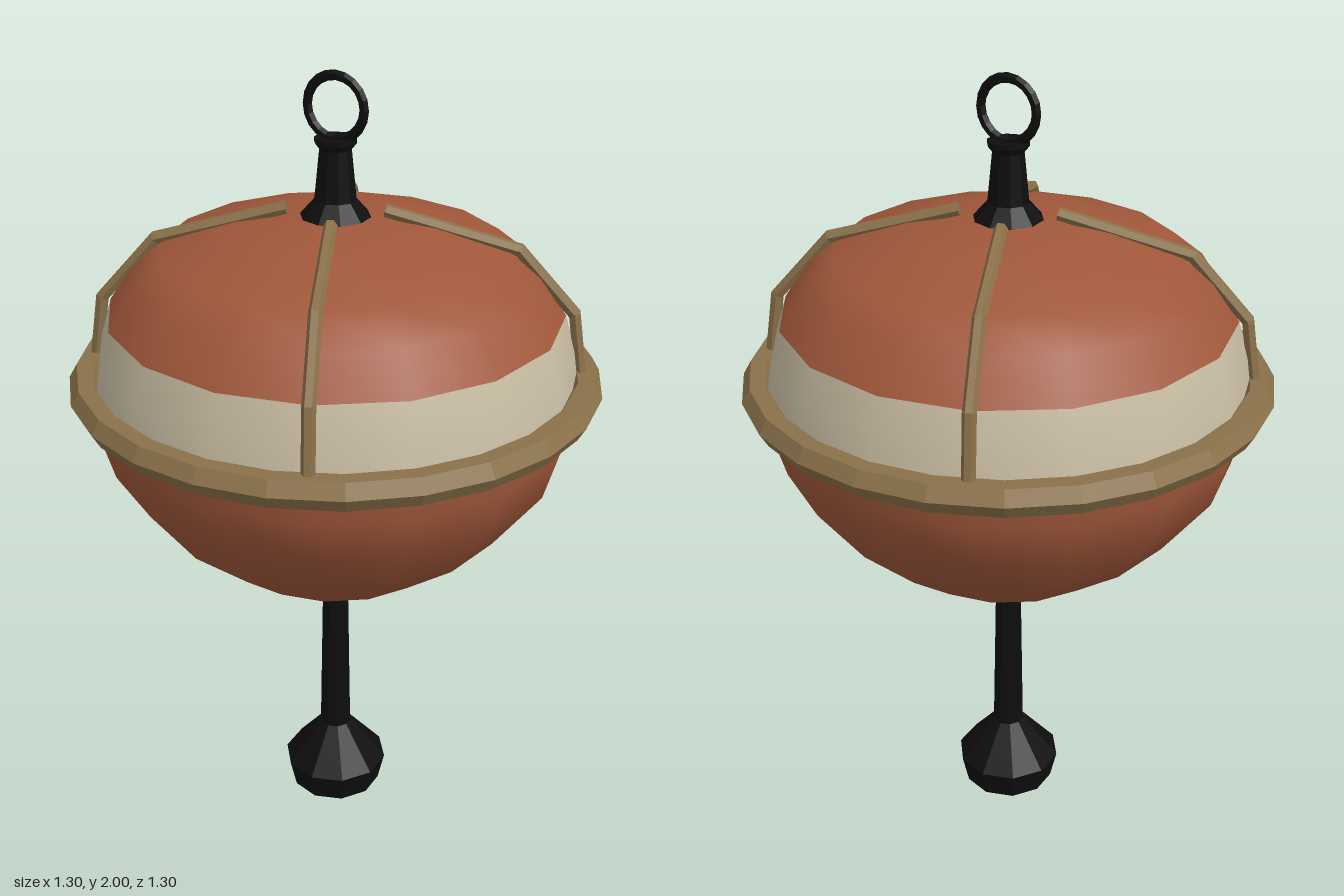
import * as THREE from 'three';

const material = (name, color) => {
  const m = new THREE.MeshStandardMaterial({ color });
  m.name = name;
  return m;
};

// Faceted normals for the low-poly parts
function faceted(geometry) {
  const g = geometry.index ? geometry.toNonIndexed() : geometry;
  g.computeVertexNormals();
  return g;
}

// Turned shape from [radius, height] pairs, listed bottom to top
const turned = (profile, sides) =>
  new THREE.LatheGeometry(profile.map(([r, y]) => new THREE.Vector2(r, y)), sides);

// Straight bar between two points, slightly overlapping at the joints
function bar(a, b, radius) {
  const dir = b.clone().sub(a);
  const g = faceted(new THREE.CylinderGeometry(radius, radius, dir.length() + 0.008, 6));
  g.applyQuaternion(new THREE.Quaternion().setFromUnitVectors(new THREE.Vector3(0, 1, 0), dir.normalize()));
  const mid = a.clone().add(b).multiplyScalar(0.5);
  return g.translate(mid.x, mid.y, mid.z);
}

export function createModel() {
  const model = new THREE.Group();
  model.name = 'buoy';
  const rust = material('rust red paint', 0xa0573a);
  const cream = material('cream paint', 0xc9bda3);
  const brass = material('aged brass', 0x8a714a);
  const iron = material('black iron', 0x0e0e0f);

  const add = (name, geometry, mat, parent = model) => {
    const mesh = new THREE.Mesh(geometry, mat);
    mesh.name = name;
    parent.add(mesh);
    return mesh;
  };

  // Float: lower hull, painted band and upper dome
  add('lowerHull', turned([[0, 0.7], [0.127, 0.708], [0.28, 0.77], [0.434, 0.89],
    [0.555, 1.05], [0.587, 1.16], [0.592, 1.25]], 16), rust);
  add('paintedBand', turned([[0.592, 1.25], [0.578, 1.34], [0.55, 1.43]], 16), cream);
  add('upperDome', turned([[0.55, 1.43], [0.487, 1.525], [0.413, 1.585],
    [0.24, 1.64], [0.1, 1.66], [0, 1.663]], 16), rust);

  // Hexagonal-section ring around the waist
  const waist = new THREE.TorusGeometry(0.61, 0.04, 6, 24).rotateX(Math.PI / 2);
  add('waistRing', faceted(waist).translate(0, 1.255, 0), brass);

  // Four bent ribs over the dome
  const path = [[0.12, 1.675], [0.432, 1.59], [0.57, 1.435], [0.597, 1.26]]
    .map(([r, y]) => new THREE.Vector3(r, y, 0));
  for (let i = 0; i < 4; i++) {
    const rib = new THREE.Group();
    rib.name = 'rib' + (i + 1);
    for (let j = 0; j < 3; j++) add('ribSegment' + (j + 1), bar(path[j], path[j + 1], 0.016), brass, rib);
    rib.rotation.y = Math.PI / 8 + i * Math.PI / 2;
    model.add(rib);
  }

  // Top fitting with flange and lifting ring
  add('topFitting', faceted(turned([[0, 1.645], [0.09, 1.645], [0.085, 1.66], [0.05, 1.7],
    [0.038, 1.82], [0.05, 1.835], [0.05, 1.845], [0, 1.845]], 10)), iron);
  add('liftingRing', faceted(new THREE.TorusGeometry(0.073, 0.012, 6, 20))
    .translate(0, 1.915, 0), iron);

  // Stem and counterweight below the float
  add('stem', faceted(new THREE.CylinderGeometry(0.032, 0.041, 0.52, 10)).translate(0, 0.46, 0), iron);
  add('counterweight', faceted(turned([[0, 0], [0.06, 0.008], [0.12, 0.025], [0.137, 0.1],
    [0.042, 0.212], [0, 0.212]], 10)), iron);

  return model;
}
